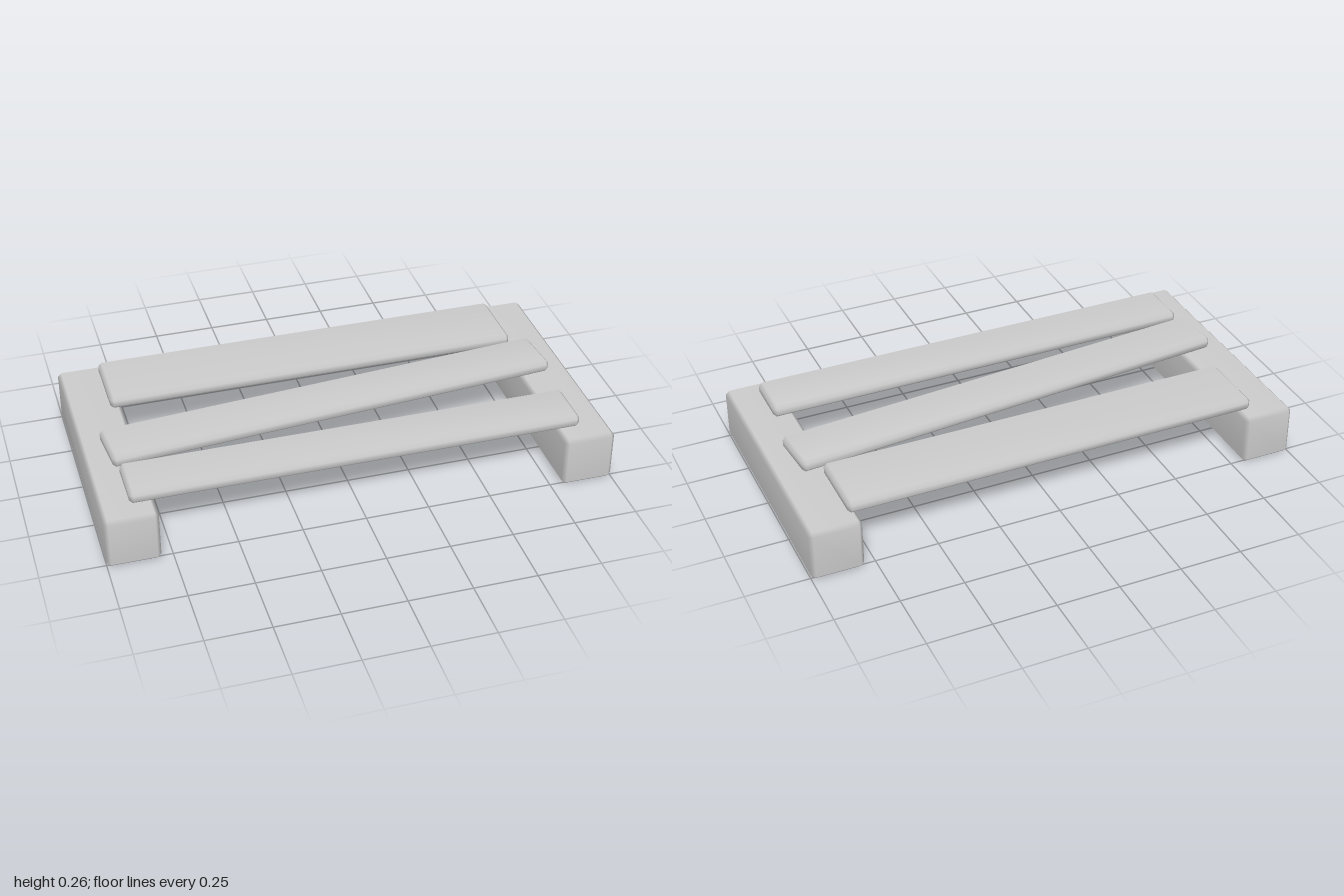
import * as THREE from 'three';
import { mergeVertices } from 'three/addons/utils/BufferGeometryUtils.js';
import { ConvexGeometry } from 'three/addons/geometries/ConvexGeometry.js';

// Box with one-step chamfered edges and smooth normals
function chamferedBox(w, h, d, c) {
  const points = [];
  for (const sx of [-1, 1]) for (const sy of [-1, 1]) for (const sz of [-1, 1]) {
    const x = w / 2, y = h / 2, z = d / 2;
    points.push(
      new THREE.Vector3(sx * x, sy * (y - c), sz * (z - c)),
      new THREE.Vector3(sx * (x - c), sy * y, sz * (z - c)),
      new THREE.Vector3(sx * (x - c), sy * (y - c), sz * z)
    );
  }
  const hull = new ConvexGeometry(points);
  hull.deleteAttribute('normal');
  const geometry = mergeVertices(hull);
  geometry.computeVertexNormals();
  return geometry;
}

export function createModel() {
  const group = new THREE.Group();
  const material = new THREE.MeshStandardMaterial({ color: 0xcccccc });

  function addPlank(name, size, chamfer, position, turn = 0) {
    const mesh = new THREE.Mesh(chamferedBox(...size, chamfer), material);
    mesh.name = name;
    mesh.position.set(...position);
    mesh.rotation.y = turn;
    group.add(mesh);
  }

  // Two thick beams on the ground
  const beamHeight = 0.208;
  for (const [name, side] of [['leftBeam', 1], ['rightBeam', -1]]) {
    addPlank(name, [0.205, beamHeight, 1.04], 0.015, [side * 0.8975, beamHeight / 2, 0]);
  }

  // Three loose slats across the beams, the middle one askew
  const slatHeight = 0.052;
  const slatY = beamHeight + 0.002 + slatHeight / 2;
  addPlank('backSlat', [1.67, slatHeight, 0.283], 0.014, [-0.005, slatY, -0.325]);
  addPlank('middleSlat', [1.825, slatHeight, 0.207], 0.014, [-0.003, slatY, 0.023], 0.088);
  addPlank('frontSlat', [1.77, slatHeight, 0.207], 0.014, [-0.003, slatY, 0.339]);

  return group;
}
